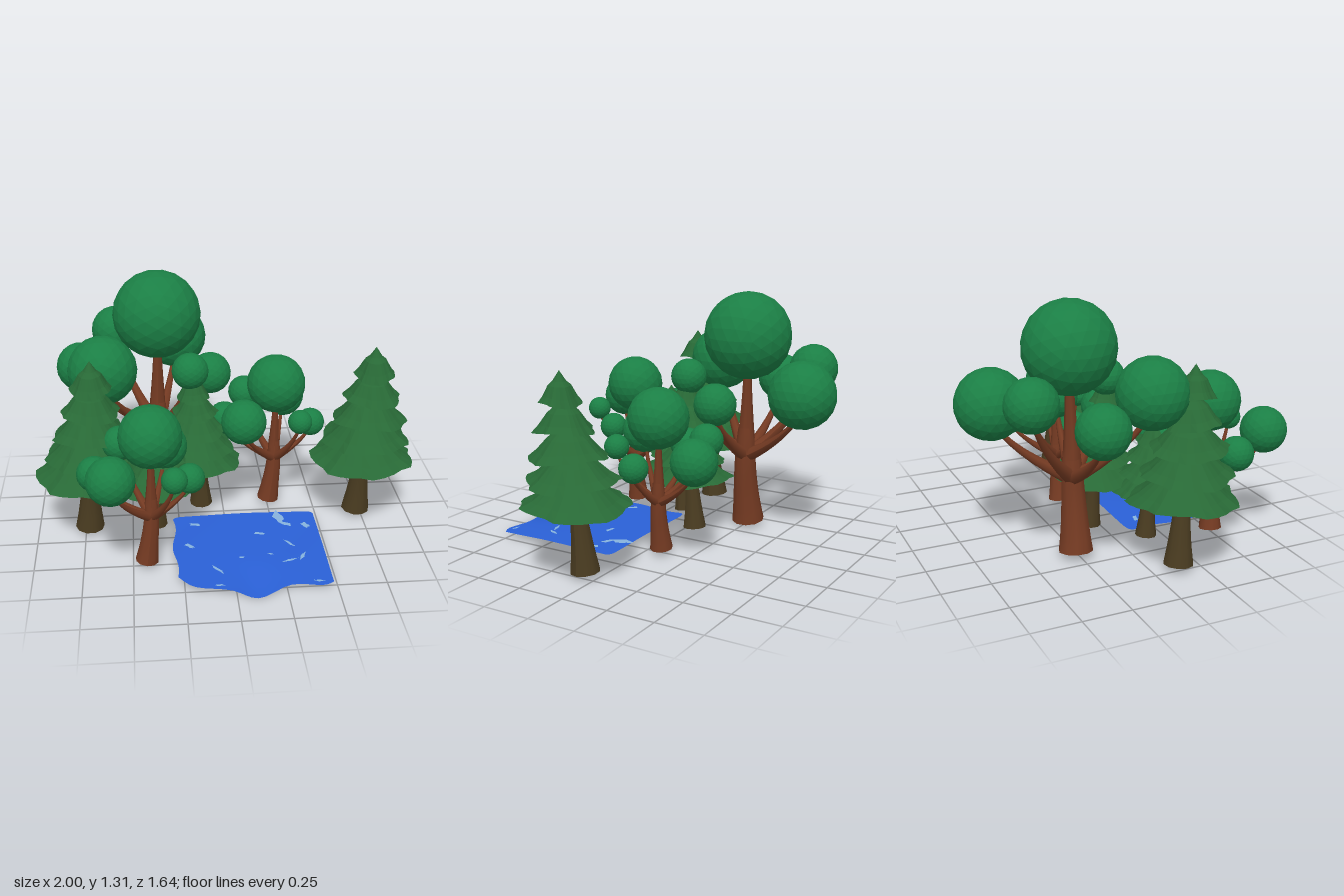
import * as THREE from 'three';

const mat = (name, color, side = THREE.FrontSide) => {
  const m = new THREE.MeshStandardMaterial({ color, side });
  m.name = name;
  return m;
};

export function createModel() {
  const model = new THREE.Group();
  model.name = 'woodlandPond';
  const leaf = mat('leafGreen', 0x1b7f45);
  const needle = mat('needleGreen', 0x286936);
  const bark = mat('redBrownBark', 0x743a22);
  const darkBark = mat('oliveBark', 0x493b20);
  const water = mat('waterBlue', 0x2a60d6, THREE.DoubleSide);
  const foam = mat('paleRipple', 0x86b2dc, THREE.DoubleSide);
  const V = (x, y, z) => new THREE.Vector3(x, y, z);

  const add = (parent, name, geo, material) => {
    const mesh = new THREE.Mesh(geo, material);
    mesh.name = name;
    parent.add(mesh);
    return mesh;
  };
  const faceted = (geo) => {
    const g = geo.index ? geo.toNonIndexed() : geo;
    g.computeVertexNormals();
    return g;
  };

  // Tapered limb swept along a curve; radius(t) gives the thickness
  const limb = (curve, seg, sides, radius) => {
    const geo = new THREE.TubeGeometry(curve, seg, 1, sides);
    const p = geo.attributes.position, v = V(0, 0, 0);
    for (let i = 0; i < p.count; i++) {
      const t = Math.floor(i / (sides + 1)) / seg;
      const c = curve.getPointAt(t);
      v.fromBufferAttribute(p, i).sub(c).multiplyScalar(radius(t)).add(c);
      p.setXYZ(i, v.x, v.y, v.z);
    }
    geo.computeVertexNormals();
    return geo;
  };
  const footCap = (parent, r, material) => {
    const cap = add(parent, 'trunkFoot', new THREE.CircleGeometry(r, 10), material);
    cap.rotation.x = Math.PI / 2;
  };

  // Broadleaf tree: leaf balls as [x, y, z, radius] from the trunk foot
  const balls = [
    [0.035, 0.695, -0.005, 0.157], [0.105, 0.517, -0.25, 0.119],
    [-0.118, 0.57, -0.195, 0.088], [-0.242, 0.5, -0.013, 0.088],
    [-0.158, 0.57, 0.195, 0.119], [0.222, 0.475, 0.025, 0.075],
    [0.142, 0.548, 0.175, 0.064],
  ];
  const broadleaf = (x, z, scale) => {
    const tree = new THREE.Group();
    tree.name = 'broadleafTree';
    const spine = new THREE.CatmullRomCurve3([
      V(0, 0, 0), V(0.014, 0.1, 0.002), V(0.026, 0.2, 0.002), V(0.03, 0.29, 0), V(0.033, 0.36, 0)]);
    add(tree, 'trunk', limb(spine, 8, 10, (t) => 0.038 + 0.021 * (1 - t) ** 2.5 - 0.012 * t ** 6), bark);
    footCap(tree, 0.059, bark);
    balls.forEach(([bx, by, bz, r], i) => {
      const start = V(0.028, i ? 0.25 : 0.32, 0), end = V(bx, by - r * 0.5, bz);
      // Limbs spread outwards first, then bend up into the leaves
      const mid = start.clone().lerp(end, 0.72);
      mid.y = start.y + (end.y - start.y) * 0.45;
      const r0 = i ? 0.027 : 0.032, r1 = i ? 0.008 : 0.014;
      const path = new THREE.QuadraticBezierCurve3(start, mid, end);
      add(tree, 'branch', limb(path, 7, 7, (t) => r1 + (r0 - r1) * (1 - t) ** 1.6), bark);
      const ball = add(tree, 'leafBall', faceted(new THREE.IcosahedronGeometry(r, 3)), leaf);
      ball.position.set(bx, by, bz);
    });
    tree.position.set(x, 0.03, z);
    tree.scale.setScalar(scale);
    model.add(tree);
  };
  broadleaf(-0.387, -0.262, 1.5);
  broadleaf(0.255, -0.085, 1);
  broadleaf(-0.43, 0.49, 1);

  // Conifer: flared skirts as [rim height, radius, rise] on a leaning trunk
  const tiers = [[0.338, 0.28, 0.2], [0.455, 0.238, 0.19], [0.58, 0.2, 0.18],
    [0.705, 0.153, 0.17], [0.833, 0.109, 0.157]];
  const lean = (h) => V(0.048 * h, h, 0.125 * h ** 1.3);
  const skirt = (r, rise, tier) => {
    const prof = [[0.12, rise * 0.45], [0.5, 0.045], [1, 0], [0.78, 0.033], [0.52, 0.07 + rise * 0.1],
      [0.3, rise * 0.68], [0.001, rise]];
    const segs = 28;
    const geo = new THREE.LatheGeometry(prof.map(([k, y]) => new THREE.Vector2(k * r, y)), segs);
    const p = geo.attributes.position;
    for (let i = 0; i < p.count; i++) {
      const s = (Math.floor(i / prof.length) + tier * 3) % segs;
      const reach = Math.hypot(p.getX(i), p.getZ(i)) / r;
      // Uneven, stepped rim of overlapping boughs
      const k = 1 - 0.09 * reach * ((s % 4) / 3) + 0.025 * reach * Math.sin(s * 2 * Math.PI / segs * 3);
      p.setXYZ(i, p.getX(i) * k, p.getY(i) + 0.012 * reach ** 3 * Math.sin(s * 4 * Math.PI / segs), p.getZ(i) * k);
    }
    return faceted(geo);
  };
  const conifer = (x, z, scale, turn) => {
    const tree = new THREE.Group();
    tree.name = 'conifer';
    const spine = new THREE.CatmullRomCurve3([0, 0.15, 0.35, 0.6, 0.88].map(lean));
    add(tree, 'trunk', limb(spine, 10, 10, (t) => 0.012 + 0.04 * (1 - t) + 0.024 * (1 - t) ** 5), darkBark);
    footCap(tree, 0.076, darkBark);
    tiers.forEach(([h, r, rise], i) => {
      add(tree, 'boughSkirt', skirt(r, rise, i), needle).position.copy(lean(h));
    });
    tree.position.set(x, 0.03, z);
    tree.rotation.y = turn;
    tree.scale.setScalar(scale);
    model.add(tree);
  };
  conifer(0.722, 0.065, 1, 0);
  conifer(-0.728, 0.135, 1, 0.1);
  conifer(-0.12, -0.07, 0.82, -0.85);
  conifer(-0.37, 0.14, 0.73, -0.15);

  // Pond sheet: straight back, wavy front edge that sags
  const pondY = (x, z) => {
    const s = THREE.MathUtils.smoothstep(z, 0.5, 0.82);
    return 0.03 - 0.029 * s * Math.exp(-(((x - 0.11) / 0.11) ** 2))
      + 0.003 * Math.sin(x * 9 + z * 7) * (1 - s);
  };
  const front = new THREE.SplineCurve([[-0.285, 0.66], [-0.2, 0.75], [-0.02, 0.785], [0.1, 0.827],
    [0.27, 0.765], [0.42, 0.785], [0.48, 0.76]].map(([x, z]) => new THREE.Vector2(x, z)));
  const pond = new THREE.PlaneGeometry(1, 1, 24, 16);
  const pp = pond.attributes.position;
  for (let i = 0; i < pp.count; i++) {
    const u = pp.getX(i) + 0.5, w = 0.5 - pp.getY(i);
    const f = front.getPoint(u);
    const back = 0.085 + 0.025 * Math.abs(2 * u - 1) ** 10;
    const z = back + (f.y - back) * w;
    const x = f.x + 0.012 * Math.sin(w * 9) * (1 - u) ** 4;
    pp.setXYZ(i, x, pondY(x, z), z);
  }
  pond.computeVertexNormals();
  add(model, 'pond', pond, water);

  // Ripple flecks: ragged streaks as [x, z, length, width, angle]
  const flecks = [[0.285, 0.14, 0.12, 0.05, 1.4], [0.32, 0.21, 0.06, 0.03, 0.6],
    [0.42, 0.23, 0.06, 0.035, 1.1], [0.165, 0.295, 0.06, 0.022, 0.2], [0.31, 0.4, 0.08, 0.015, 1],
    [0.29, 0.56, 0.08, 0.016, -0.3], [0.36, 0.53, 0.07, 0.018, -1.1], [-0.08, 0.61, 0.09, 0.016, 0.9],
    [-0.17, 0.18, 0.06, 0.025, 0.3], [-0.21, 0.39, 0.06, 0.025, 0.8], [0.05, 0.51, 0.03, 0.014, 0],
    [0.2, 0.49, 0.03, 0.012, 0.5], [0.41, 0.75, 0.05, 0.014, 0.2], [-0.08, 0.745, 0.05, 0.014, 0]];
  flecks.forEach(([x, z, len, wid, a], n) => {
    const geo = new THREE.CircleGeometry(0.5, 11);
    const p = geo.attributes.position;
    for (let i = 0; i < p.count; i++) {
      const k = 1 + 0.25 * Math.sin((i % 11) * 2.3 + n);
      const lx = p.getX(i) * len * k, lz = -p.getY(i) * wid * k;
      const fx = x + lx * Math.cos(a) - lz * Math.sin(a), fz = z + lx * Math.sin(a) + lz * Math.cos(a);
      p.setXYZ(i, fx, pondY(fx, fz) + 0.003, fz);
    }
    geo.computeVertexNormals();
    add(model, 'rippleFleck', geo, foam);
  });

  return model;
}
